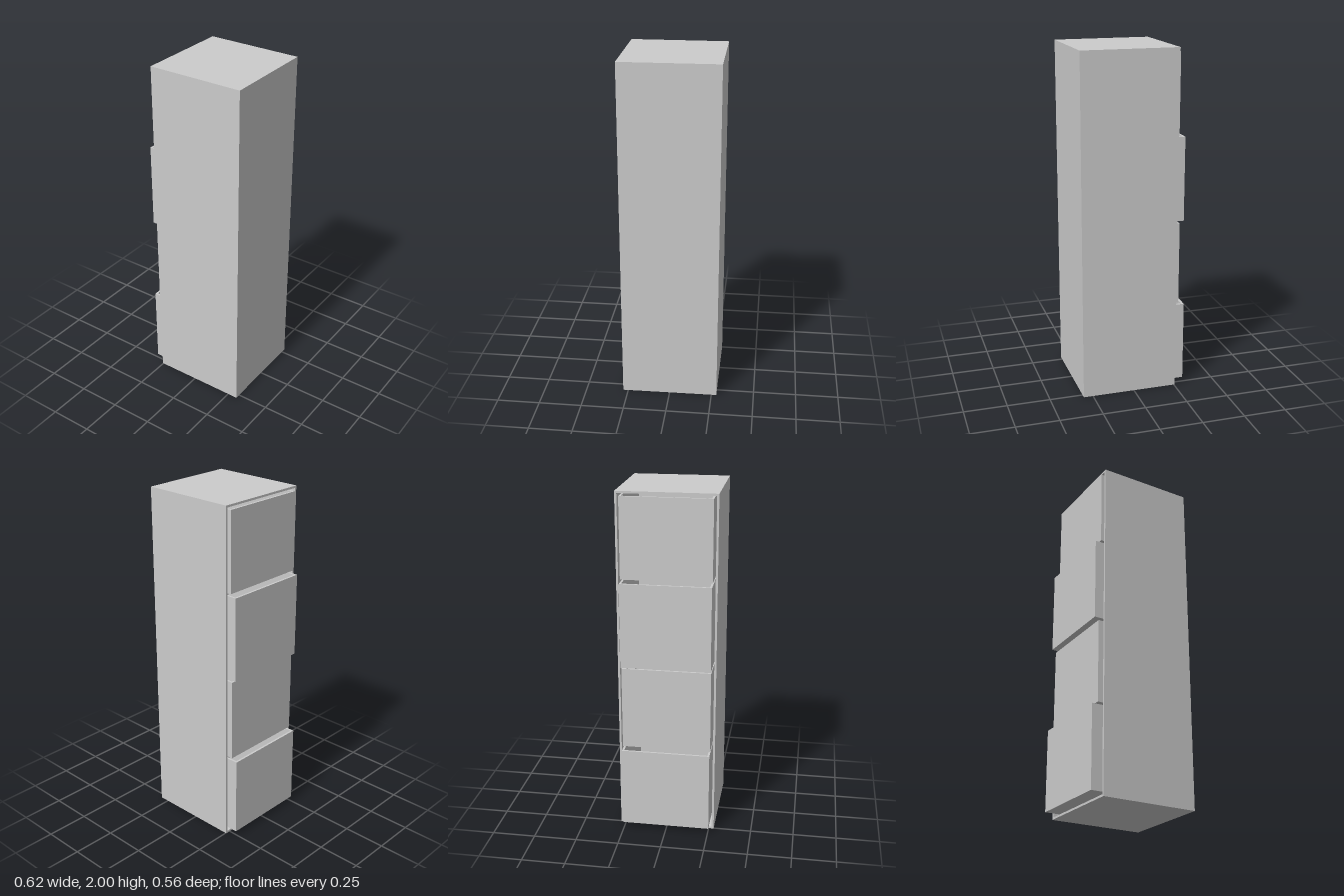
import * as THREE from 'three';

const material = new THREE.MeshStandardMaterial({ color: 0xcccccc, flatShading: true });
const T = 0.012; // board thickness

// Box between two corners; the closed rear wall runs very slightly out of square
function board(name, [x0, y0, z0], [x1, y1, z1]) {
  const geometry = new THREE.BoxGeometry(x1 - x0, y1 - y0, z1 - z0);
  geometry.translate((x0 + x1) / 2, (y0 + y1) / 2, (z0 + z1) / 2);
  const p = geometry.attributes.position;
  for (let i = 0; i < p.count; i++) {
    if (p.getX(i) > 0.29) p.setX(i, p.getX(i) + 0.009 * p.getZ(i));
  }
  geometry.computeVertexNormals();
  const mesh = new THREE.Mesh(geometry, material);
  mesh.name = name;
  return mesh;
}

// Hollow cabinet, open on the -x side
function createCabinet() {
  const cabinet = new THREE.Group();
  cabinet.name = 'cabinet';
  const x0 = -0.254, x1 = 0.308, z = 0.28;
  cabinet.add(
    board('cabinetFloor', [x0, 0, -z], [x1, T, z]),
    board('cabinetTop', [x0, 2 - T, -z], [x1, 2, z]),
    board('cabinetSide', [x0, T, z - T], [x1, 2 - T, z]),
    board('cabinetSide', [x0, T, -z], [x1, 2 - T, -z + T]),
    board('cabinetRearWall', [x1 - T, T, -z + T], [x1, 2 - T, z - T]),
  );
  return cabinet;
}

// Open-topped drawer whose face sits at x = face
function createDrawer(face, y0, y1) {
  const drawer = new THREE.Group();
  drawer.name = 'drawer';
  const end = face + 0.53, z0 = -0.256, z1 = 0.254;
  drawer.add(
    board('drawerFront', [face, y0, z0], [face + T, y1, z1]),
    board('drawerBack', [end - T, y0, z0], [end, y1, z1]),
    board('drawerSide', [face + T, y0, z0], [end - T, y1, z0 + T]),
    board('drawerSide', [face + T, y0, z1 - T], [end - T, y1, z1]),
    board('drawerFloor', [face + T, y0, z0 + T], [end - T, y0 + T, z1 - T]),
  );
  return drawer;
}

export function createModel() {
  const model = new THREE.Group();
  model.name = 'filingCabinet';
  model.add(createCabinet());
  // Four drawers pulled out by different amounts: face x, bottom, top
  const drawers = [
    [-0.312, 0.03, 0.503],
    [-0.277, 0.517, 1.0],
    [-0.301, 1.015, 1.503],
    [-0.266, 1.518, 1.975],
  ];
  for (const d of drawers) model.add(createDrawer(...d));
  return model;
}
